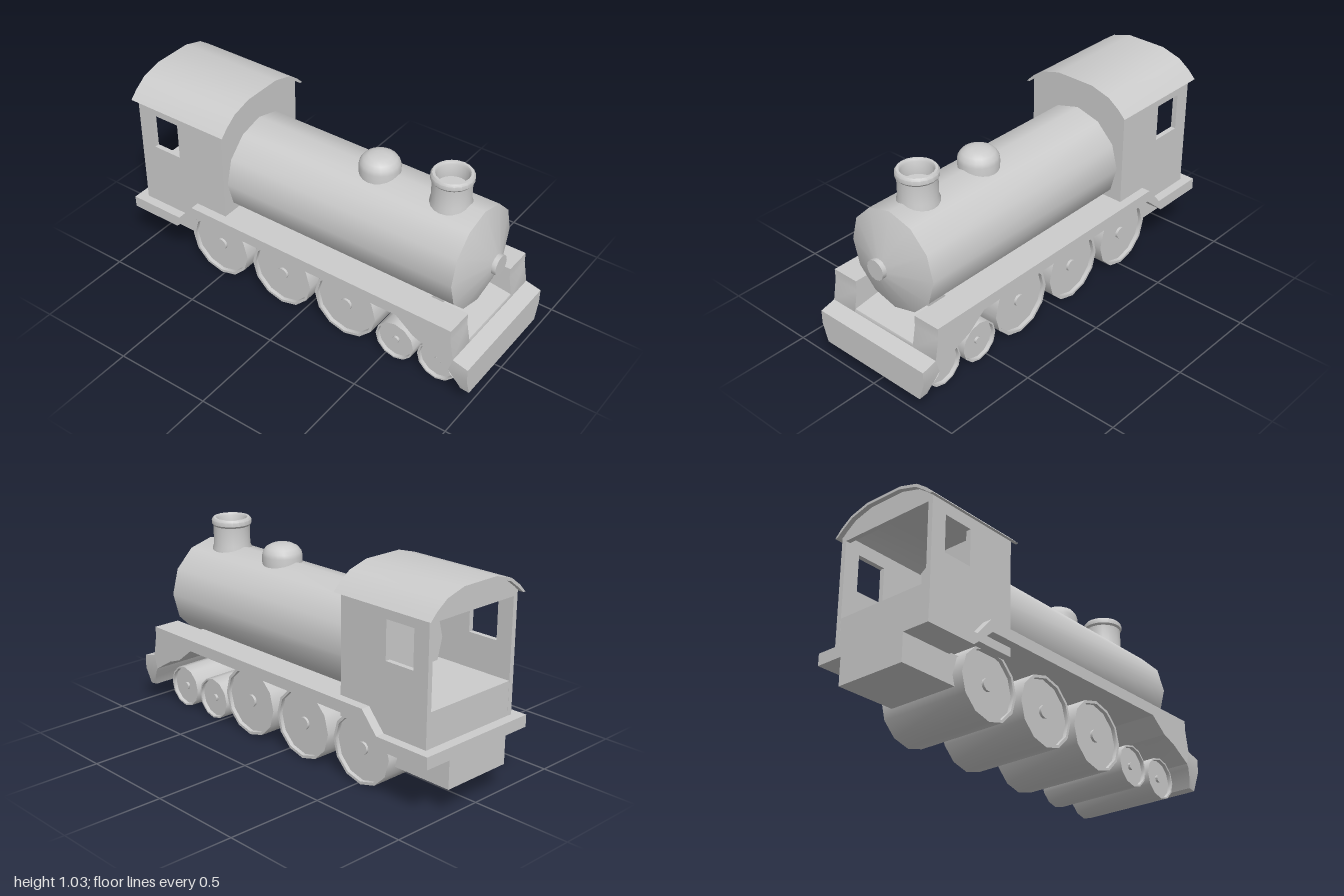
import * as THREE from 'three';
import { toCreasedNormals } from 'three/addons/utils/BufferGeometryUtils.js';

const material = new THREE.MeshStandardMaterial({ color: 0xcccccc, side: THREE.DoubleSide });
const pts = list => list.map(([a, b]) => new THREE.Vector2(a, b));

export function createModel() {
  const model = new THREE.Group();

  const add = (name, geometry, parent = model) => {
    const mesh = new THREE.Mesh(toCreasedNormals(geometry, 0.65), material);
    mesh.name = name;
    parent.add(mesh);
    return mesh;
  };
  const lathe = (profile, sides) => new THREE.LatheGeometry(pts(profile), sides);
  const extrude = (shape, depth) =>
    new THREE.ExtrudeGeometry(shape, { depth, bevelEnabled: false });
  // Outline given as (z, y), extruded across from x0 to x1
  const sideways = (outline, x0, x1, hole) => {
    const shape = new THREE.Shape(pts(outline));
    if (hole) shape.holes.push(new THREE.Path(pts(hole)));
    return extrude(shape, x1 - x0).rotateY(-Math.PI / 2).translate(x1, 0, 0);
  };
  // Outline given as (x, y), extruded from z0 to z1
  const lengthways = (outline, z0, z1) =>
    extrude(new THREE.Shape(pts(outline)), z1 - z0).translate(0, 0, z0);
  const box = (x, y0, y1, z0, z1) =>
    new THREE.BoxGeometry(2 * x, y1 - y0, z1 - z0).translate(0, (y0 + y1) / 2, (z0 + z1) / 2);

  // Boiler with conical nose
  add('boiler', lathe([[0, -0.55], [0.257, -0.55], [0.257, 0.84], [0.05, 0.92], [0, 0.92]], 12)
    .rotateX(Math.PI / 2).translate(0, 0.608, 0));
  add('noseKnob', new THREE.CylinderGeometry(0.051, 0.051, 0.04, 12)
    .rotateX(Math.PI / 2).translate(0, 0.608, 0.923));

  // Chimney and steam dome
  add('chimney', lathe([
    [0.1, 0.8], [0.1, 0.85], [0.093, 0.87], [0.093, 0.965], [0.101, 0.975], [0.101, 0.995],
    [0.093, 1.006], [0.081, 1.006], [0.074, 0.995], [0.074, 0.93], [0, 0.93],
  ], 20).translate(0, 0, 0.665));
  add('steamDome', lathe([
    [0.098, 0.8], [0.1, 0.885], [0.095, 0.905], [0.08, 0.925], [0.055, 0.939], [0.028, 0.944], [0, 0.945],
  ], 20).translate(0, 0, 0.28));

  // Frame with running boards stepping down at the rear
  add('frame', sideways([
    [-1, 0.27], [-0.72, 0.27], [-0.6, 0.375], [0.61, 0.375], [0.705, 0.3],
    [0.705, 0.433], [-0.61, 0.433], [-0.7, 0.33], [-1, 0.33],
  ], -0.335, 0.335));
  add('rearBlock', box(0.19, 0.13, 0.28, -1, -0.55));

  // Front deck, the raised cheeks on both sides of it, and the bumper
  const under = [[0.705, 0.3], [0.785, 0.27], [0.9, 0.2]];
  add('frontDeck', sideways([...under, [0.92, 0.27], [0.915, 0.285], [0.705, 0.285 + 0.03]], -0.2, 0.2));
  for (const [x0, x1] of [[-0.335, -0.19], [0.19, 0.335]]) {
    add('frontCheek', sideways([...under, [0.92, 0.27], [0.9, 0.38], [0.9, 0.433], [0.705, 0.433]], x0, x1));
  }
  const bumper = sideways([
    [0.9, 0.2], [0.91, 0.18], [0.935, 0.14], [0.955, 0.09], [1, 0.085],
    [1, 0.18], [1, 0.25], [0.92, 0.27],
  ], -0.335, 0.335);
  // Lower corners of the bumper taper inward
  const p = bumper.attributes.position;
  for (let i = 0; i < p.count; i++) {
    const limit = 0.335 - Math.max(0, 0.18 - p.getY(i)) * 0.32;
    p.setX(i, Math.sign(p.getX(i)) * limit);
  }
  bumper.computeVertexNormals();
  add('bumper', bumper);

  // Wheel pairs: wide rollers with recessed, hubbed ends
  const addWheel = (name, z, r, hub) => {
    const end = [[0, 0.238], [hub, 0.238], [hub, 0.225], [r * 0.92, 0.225], [r * 0.92, 0.245], [r, 0.245]];
    const profile = [...end.map(([a, b]) => [a, -b]), ...end.slice().reverse()];
    add(name, lathe(profile, 12).rotateZ(-Math.PI / 2).translate(0, r + 0.003, z));
  };
  for (const z of [0.26, -0.125, -0.517]) addWheel('drivingWheels', z, 0.178, 0.031);
  for (const z of [0.785, 0.55]) addWheel('leadingWheels', z, 0.107, 0.018);

  // Cab
  const cab = new THREE.Group();
  cab.name = 'cab';
  model.add(cab);
  const half = [[0.31, 0.917], [0.27, 0.957], [0.21, 1], [0.105, 1.03]];
  const innerHalf = [[0.296, 0.917], [0.262, 0.945], [0.203, 0.987], [0.1, 1.016]];
  const arch = h => [...h, ...h.slice().reverse().map(([x, y]) => [-x, y])];
  const gable = [[0.288, 0.922], ...arch(innerHalf.slice(1)), [-0.288, 0.922]];

  add('roof', lengthways([...arch(half), ...arch(innerHalf).reverse()], -0.975, -0.403), cab);
  add('frontWall', lengthways([[0.288, 0.33], ...gable, [-0.288, 0.33]], -0.455, -0.43), cab);
  add('rearLintel', lengthways([[0.288, 0.9], ...gable, [-0.288, 0.9]], -0.95, -0.925), cab);
  add('cabFloor', box(0.287, 0.33, 0.5, -0.949, -0.44), cab);
  for (const [x0, x1] of [[-0.288, -0.262], [0.262, 0.288]]) {
    add('sideWall', sideways(
      [[-0.95, 0.33], [-0.43, 0.33], [-0.43, 0.93], [-0.95, 0.93]], x0, x1,
      [[-0.866, 0.672], [-0.866, 0.862], [-0.705, 0.862], [-0.705, 0.672]]), cab);
  }

  return model;
}
